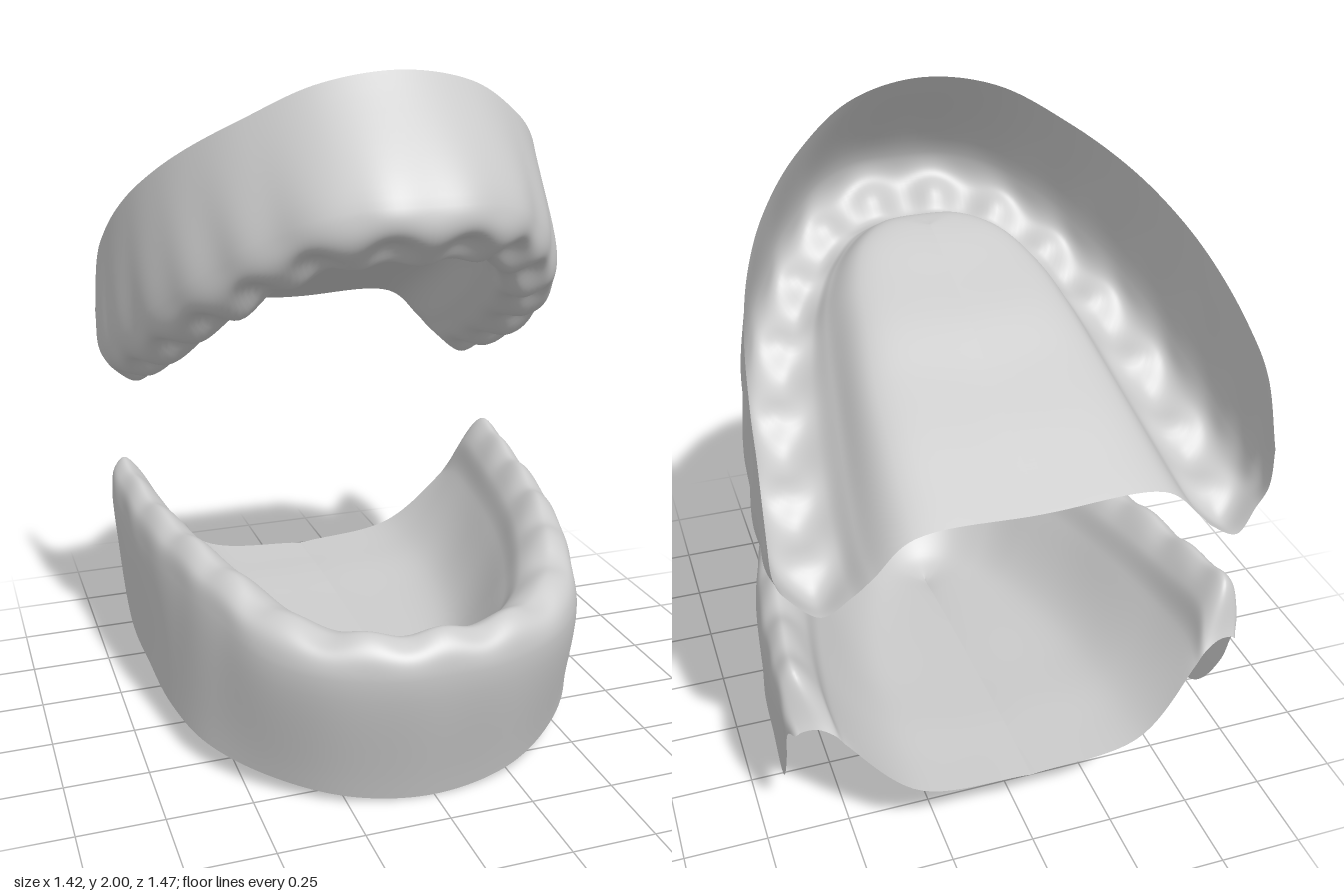
import * as THREE from 'three';

const material = new THREE.MeshStandardMaterial({ color: 0xcccccc, side: THREE.DoubleSide });
const V = (p) => new THREE.Vector3(...p);
const TEETH = 7;     // sockets on each half
const STATIONS = 8;  // steps along each half of the arch

// Guide line given from the middle of the arch to its back end, mirrored to a full curve
function guide(points) {
  const left = points.map(V);
  const right = left.slice(1).reverse().map((p) => new THREE.Vector3(-p.x, p.y, p.z));
  return new THREE.CatmullRomCurve3([...right, ...left]);
}

// Point between the side of the ridge and its crest, higher for a fuller ridge
function shoulder(side, crest, up, fullness) {
  const rise = up.clone().multiplyScalar(crest.clone().sub(side).dot(up));
  const across = crest.clone().sub(side).sub(rise);
  return side.clone().addScaledVector(rise, fullness).addScaledVector(across, 1 - fullness);
}

// Smooth shell: cross-sections run from the outer rim over the crest to the midline
function gum(name, lines, { socketDir, depth, flute, midRise, socketV }) {
  const nU = 196, nV = 72;
  const last = lines[lines.length - 1];
  const midline = last.map(([, y, z], i) => [0, y + midRise, z - 0.09 * (1 - i / STATIONS)]);
  const guides = [...lines, midline].map(guide);
  const up = socketDir.clone().negate();
  const section = (u) => {
    const [rim, bulge, crest, inner, base, mid] = guides.map((g) => g.getPoint(u));
    return new THREE.CatmullRomCurve3([rim, bulge, shoulder(bulge, crest, up, 0.7), crest,
      shoulder(inner, crest, up, 0.6), inner, base, mid]);
  };

  // Tooth socket centres, a little to the outside at the front
  const sockets = [];
  for (const side of [-1, 1]) {
    for (let i = 0; i < TEETH; i++) {
      const back = (i + 0.5) / STATIONS;
      const p = section(0.5 + side * back / 2).getPoint(THREE.MathUtils.lerp(socketV, 0.43, back));
      sockets.push({ p, r: 0.068 + 0.01 * back });
    }
  }

  const positions = [], indices = [];
  for (let i = 0; i <= nU; i++) {
    const u = i / nU;
    const curve = section(u);
    const outward = curve.getPoint(1 / 7).sub(curve.getPoint(5 / 7)).setY(0).normalize();
    const wave = -Math.cos(u * STATIONS * 2 * Math.PI * 2);
    for (let j = 0; j <= nV; j++) {
      const v = j / nV;
      const p = curve.getPoint(v);
      let dent = 0;
      for (const s of sockets) dent += Math.exp(-p.distanceToSquared(s.p) / (s.r * s.r));
      p.addScaledVector(socketDir, depth * dent);
      // shallow root flutes on the outer wall
      p.addScaledVector(outward, flute * wave * Math.exp(-(((v - 0.15) / 0.08) ** 2)));
      positions.push(p.x, p.y, p.z);
      if (i < nU && j < nV) {
        const a = i * (nV + 1) + j, b = a + nV + 1;
        indices.push(a, a + 1, b, b, a + 1, b + 1);
      }
    }
  }
  // keep the front of the faces on the outside of the crest
  if (socketDir.y > 0) indices.reverse();
  const geometry = new THREE.BufferGeometry();
  geometry.setAttribute('position', new THREE.Float32BufferAttribute(positions, 3));
  geometry.setIndex(indices);
  geometry.computeVertexNormals();
  const mesh = new THREE.Mesh(geometry, material);
  mesh.name = name;
  return mesh;
}

// Upper gum with the palate, tilted down towards the back
const upperRim = [[0, 2, 0.3], [0.22, 1.965, 0.265], [0.4, 1.87, 0.16], [0.53, 1.775, 0.01],
  [0.61, 1.685, -0.14], [0.66, 1.59, -0.3], [0.69, 1.47, -0.48], [0.7, 1.37, -0.59], [0.705, 1.18, -0.665]];
const upperBulge = [[0, 1.67, 0.575], [0.21, 1.66, 0.53], [0.38, 1.59, 0.39], [0.5, 1.49, 0.24],
  [0.6, 1.37, 0.06], [0.66, 1.25, -0.17], [0.695, 1.14, -0.4], [0.705, 1.08, -0.56], [0.7, 1.06, -0.67]];
const upperCrest = [[0, 1.5, 0.49], [0.18, 1.49, 0.46], [0.32, 1.43, 0.35], [0.43, 1.32, 0.2],
  [0.51, 1.22, 0.02], [0.56, 1.1, -0.2], [0.58, 1.0, -0.42], [0.585, 0.935, -0.6], [0.59, 0.955, -0.71]];
const upperInner = [[0, 1.53, 0.41], [0.14, 1.52, 0.39], [0.26, 1.48, 0.29], [0.34, 1.41, 0.15],
  [0.38, 1.33, -0.02], [0.41, 1.23, -0.22], [0.44, 1.13, -0.44], [0.455, 1.07, -0.61], [0.455, 1.06, -0.73]];
const palate = [[0, 1.57, 0.33], [0.11, 1.57, 0.31], [0.2, 1.55, 0.23], [0.26, 1.5, 0.09],
  [0.29, 1.44, -0.08], [0.32, 1.35, -0.27], [0.335, 1.27, -0.46], [0.345, 1.2, -0.62], [0.35, 1.155, -0.73]];

// Lower gum with the floor of the mouth; the ridge ends are closed at the back
const lowerRim = [[0, 0, 0.625], [0.24, 0.02, 0.59], [0.44, 0.05, 0.46], [0.58, 0.08, 0.28],
  [0.64, 0.1, 0.06], [0.66, 0.12, -0.2], [0.675, 0.165, -0.42], [0.683, 0.35, -0.555], [0.685, 0.505, -0.605]];
const lowerBulge = [[0, 0.44, 0.735], [0.22, 0.44, 0.705], [0.44, 0.46, 0.575], [0.55, 0.5, 0.36],
  [0.62, 0.52, 0.12], [0.67, 0.53, -0.14], [0.69, 0.56, -0.38], [0.697, 0.59, -0.57], [0.67, 0.515, -0.645]];
const lowerCrest = [[0, 0.55, 0.66], [0.2, 0.55, 0.63], [0.38, 0.57, 0.5], [0.48, 0.62, 0.31],
  [0.55, 0.65, 0.1], [0.605, 0.665, -0.15], [0.635, 0.685, -0.38], [0.65, 0.7, -0.575], [0.61, 0.53, -0.655]];
const lowerInner = [[0, 0.42, 0.56], [0.15, 0.42, 0.53], [0.28, 0.44, 0.42], [0.37, 0.47, 0.25],
  [0.44, 0.48, 0.05], [0.49, 0.49, -0.18], [0.525, 0.49, -0.4], [0.54, 0.49, -0.58], [0.53, 0.46, -0.67]];
const mouthFloor = [[0, 0.23, 0.42], [0.09, 0.23, 0.39], [0.17, 0.24, 0.3], [0.23, 0.25, 0.17],
  [0.28, 0.26, 0], [0.32, 0.27, -0.22], [0.335, 0.28, -0.43], [0.34, 0.28, -0.59], [0.34, 0.28, -0.72]];

export function createModel() {
  const group = new THREE.Group();
  group.name = 'gums';
  group.add(
    gum('upperGum', [upperRim, upperBulge, upperCrest, upperInner, palate],
      { socketDir: V([0, 0.89, -0.46]), depth: 0.05, flute: 0.004, midRise: 0.005, socketV: 0.36 }),
    gum('lowerGum', [lowerRim, lowerBulge, lowerCrest, lowerInner, mouthFloor],
      { socketDir: V([0, -1, 0]), depth: 0.025, flute: 0.002, midRise: -0.045, socketV: 0.4 }),
  );
  return group;
}
